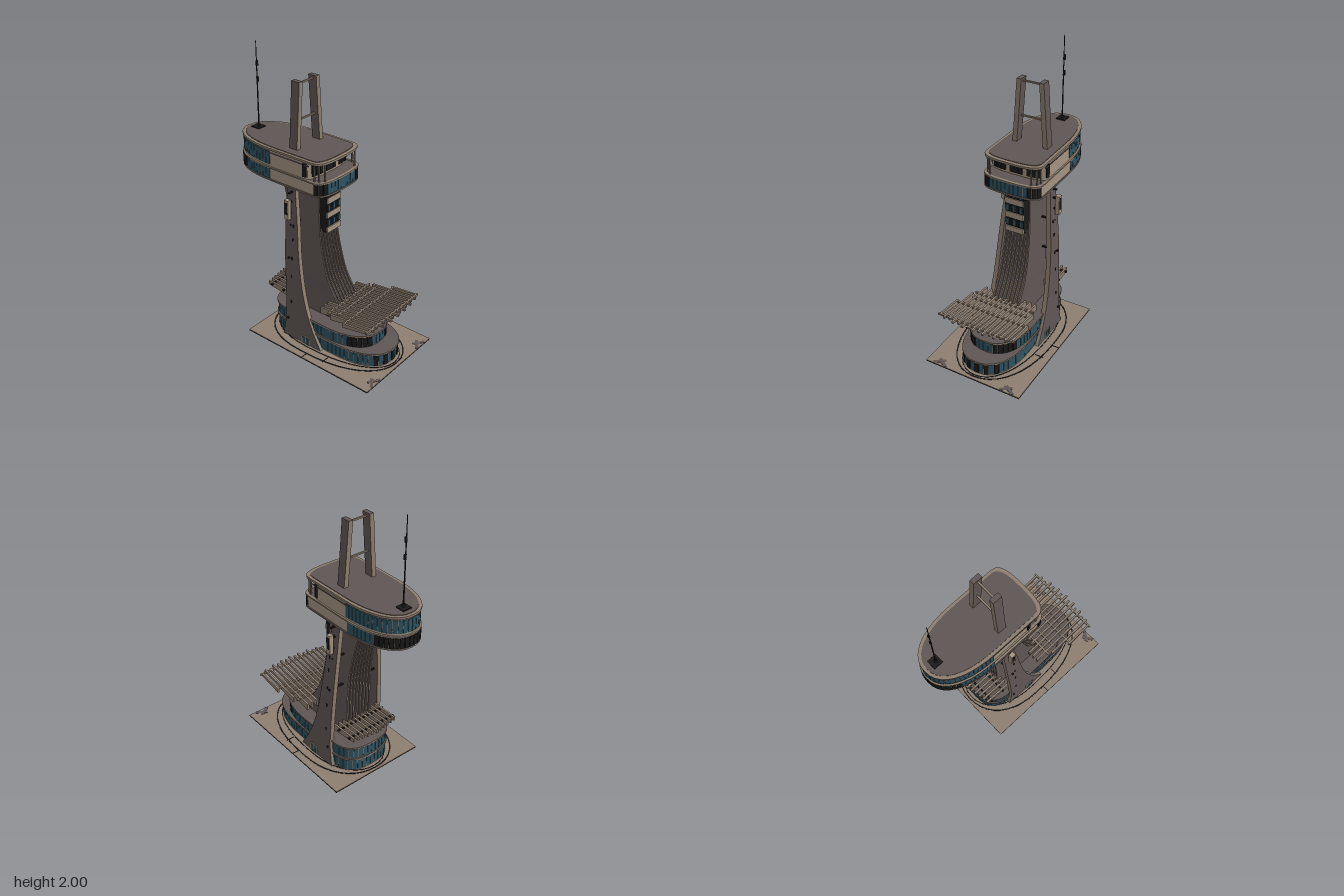
import * as THREE from 'three';

const mat = (name, color) => {
  const m = new THREE.MeshStandardMaterial({ color });
  m.name = name;
  return m;
};
const TAN = mat('tan cladding', 0x8d7e6f);
const PALE = mat('pale panel', 0xa39381);
const BROWN = mat('grey brown concrete', 0x5f5654);
const BLACK = mat('black metal', 0x1b1a1a);
const TEAL = mat('teal glass', 0x2f5362);

export function createModel() {
  const root = new THREE.Group();
  root.name = 'tower';
  const add = (name, geo, material, parent = root) => {
    const m = new THREE.Mesh(geo, material);
    m.name = name;
    parent.add(m);
    return m;
  };
  const group = (name) => {
    const g = new THREE.Group();
    g.name = name;
    root.add(g);
    return g;
  };
  const box = (name, x, y, z, w, h, d, material, parent) => {
    const m = add(name, new THREE.BoxGeometry(w, h, d), material, parent);
    m.position.set(x, y, z);
    return m;
  };

  // Rounded plan outline: straight sides with a superellipse at each end
  const outline = (w, zf, zb, rf, rb, nf = 2.5, nb = 2.5, steps = 20) => {
    const pts = [];
    for (const [s, z, r, n] of [[1, zf, rf, nf], [-1, zb, rb, nb]]) {
      for (let i = 0; i <= steps; i++) {
        const a = (Math.PI * i) / steps;
        const c = Math.cos(a), q = Math.sin(a);
        pts.push(new THREE.Vector2(
          s * w * Math.sign(c) * Math.abs(c) ** (2 / n),
          z - s * r + s * r * Math.max(q, 0) ** (2 / n)));
      }
    }
    return pts;
  };
  const slab = (pts, y0, y1, hole) => {
    const shape = new THREE.Shape(pts);
    if (hole) shape.holes.push(new THREE.Path(hole));
    return new THREE.ExtrudeGeometry(shape, { depth: y1 - y0, bevelEnabled: false })
      .rotateX(Math.PI / 2).translate(0, y1, 0);
  };

  // Thin facade panels along an outline; pick() chooses a material or none
  const facade = (name, pts, y0, y1, step, pick) => {
    const g = group(name);
    const shape = new THREE.Shape(pts);
    shape.closePath();
    const n = Math.round(shape.getLength() / step);
    const p = shape.getSpacedPoints(n);
    for (let i = 0; i < n; i++) {
      const a = p[i], b = p[i + 1];
      const x = (a.x + b.x) / 2, z = (a.y + b.y) / 2;
      const m = pick(x, z, i);
      if (!m) continue;
      const panel = box('panel', x, (y0 + y1) / 2, z, a.distanceTo(b) * 0.9, y1 - y0, m === BLACK ? 0.018 : 0.009, m, g);
      panel.rotation.y = -Math.atan2(b.y - a.y, b.x - a.x);
    }
  };
  const cycle = [TEAL, PALE, TEAL, BLACK, TEAL, TEAL, PALE, BLACK];
  const mixed = (i) => cycle[(i * 5 + Math.floor(i / 3)) % 8];

  // Upright loft from rows of [y, x0, x1, zBack, zFront]
  const loft = (rows, segs = 24) => {
    const curves = [1, 2, 3, 4].map((k) => new THREE.SplineCurve(rows.map((r) => new THREE.Vector2(r[0], r[k]))));
    const geo = new THREE.BoxGeometry(1, 1, 1, 1, segs, 1);
    const p = geo.attributes.position;
    for (let i = 0; i < p.count; i++) {
      const t = p.getY(i) + 0.5;
      const [x0, x1, zb, zf] = curves.map((c) => c.getPoint(t).y);
      p.setXYZ(i, p.getX(i) < 0 ? x0 : x1, curves[0].getPoint(t).x, p.getZ(i) < 0 ? zb : zf);
    }
    geo.computeVertexNormals();
    return geo;
  };

  // Ground plate with paving lines
  box('baseUnderside', 0, 0.003, 0.14, 0.73, 0.006, 1.05, BLACK);
  box('paving', 0, 0.008, 0.14, 0.73, 0.004, 1.05, TAN);
  const ring = (w, zf, zb, t) => slab(outline(w, zf, zb, 0.55, 0.4, 2.2, 2.2), 0.009, 0.0125,
    outline(w - t, zf - t, zb + t, 0.55, 0.4, 2.2, 2.2));
  add('outerPavingLine', ring(0.317, 0.645, -0.37, 0.008), BLACK);
  add('innerPavingLine', ring(0.258, 0.63, -0.35, 0.006), BLACK);
  for (const s of [-1, 1]) {
    box('pavingJoint', s * 0.34, 0.0105, 0.11, 0.05, 0.004, 0.005, BLACK);
    box('pavingJoint', s * 0.285, 0.0105, 0.25, 0.06, 0.004, 0.005, BLACK);
    for (const k of [0, 1]) {
      const mark = box('groundMark', s * (0.25 + k * 0.025), 0.0105, 0.635, 0.09, 0.004, 0.022, BROWN);
      mark.rotation.y = s * (k ? -0.6 : 0.6);
    }
  }

  // Two-storey podium
  const low = outline(0.205, 0.6, -0.32, 0.36, 0.2, 2.4, 2.8);
  const high = outline(0.205, 0.495, -0.32, 0.33, 0.2, 2.4, 2.8);
  add('podiumLower', slab(low, 0.01, 0.105), [BROWN, TAN]);
  add('podiumLowerRoof', slab(outline(0.215, 0.612, -0.33, 0.36, 0.2, 2.4, 2.8), 0.105, 0.117), [BROWN, TAN]);
  add('podiumUpper', slab(high, 0.117, 0.207), [BROWN, TAN]);
  add('podiumUpperRoof', slab(outline(0.215, 0.507, -0.33, 0.33, 0.2, 2.4, 2.8), 0.205, 0.217), [BROWN, TAN]);
  facade('podiumLowerWindows', low, 0.02, 0.1, 0.034, (x, z, i) => (z > 0.54 && i % 2 ? BLACK : mixed(i)));
  facade('podiumUpperWindows', high, 0.125, 0.2, 0.034, (x, z, i) => (z > 0.36 && Math.abs(x) > 0.07 ? BLACK : mixed(i)));

  // Curved core with continuous ribs front and back
  const coreRows = [[0.2, 0.105, -0.15, 0.275], [0.35, 0.1, -0.16, 0.195], [0.5, 0.098, -0.162, 0.11],
    [0.67, 0.094, -0.168, 0.062], [0.82, 0.089, -0.19, 0.035], [1.0, 0.082, -0.232, 0.018], [1.175, 0.076, -0.285, 0.01]];
  add('core', loft(coreRows.map(([y, w, b, f]) => [y, -w, w, b, f])), BROWN);
  const ribs = group('coreRibs');
  for (let i = 0; i < 8; i++) {
    const u = -1 + (i * 2) / 7;
    add('rib', loft(coreRows.map(([y, w, b, f]) => [y, u * w - 0.005, u * w + 0.005, b - 0.012, f + 0.014])),
      [BROWN, BROWN, TAN, TAN, TAN, TAN], ribs);
  }
  add('coreCollar', loft([[1.11, -0.09, 0.09, -0.272, 0.085], [1.17, -0.088, 0.088, -0.293, 0.088]], 1), BLACK);

  // Observation bay on the front of the core
  const bay = group('frontBay');
  add('bayBody', loft([[0.84, -0.066, 0.066, 0, 0.06], [0.88, -0.068, 0.068, 0, 0.085], [1.17, -0.07, 0.07, 0, 0.09]], 8), BLACK, bay);
  for (const y of [0.865, 0.975, 1.08]) {
    box('bayBand', 0, y, 0.088, 0.138, 0.04, 0.012, PALE, bay);
    for (let i = -2; i <= 2; i++)
      box('bayWindow', i * 0.026, y + 0.052, 0.091, 0.021, 0.042, 0.008, i % 2 ? BLACK : TEAL, bay);
  }

  // Tapering side legs that rise through the roof
  const legRows = [[0.005, 0.235, -0.17, 0.17], [0.17, 0.229, -0.147, 0.078], [0.385, 0.221, -0.15, 0.006],
    [0.65, 0.208, -0.163, -0.04], [0.9, 0.186, -0.17, -0.068], [1.17, 0.158, -0.172, -0.104],
    [1.4, 0.13, -0.174, -0.11], [1.845, 0.097, -0.177, -0.111]];
  for (const s of [-1, 1]) {
    const rows = legRows.map(([y, x, b, f]) => {
      const inner = x - 0.033;
      return s > 0 ? [y, inner, x, b, f] : [y, -x, -inner, b, f];
    });
    add(s > 0 ? 'leftLeg' : 'rightLeg', loft(rows, 32), [BROWN, BROWN, BROWN, BROWN, TAN, TAN]);
    // Service door, slit windows and side pod
    box('doorFrame', s * 0.234, 0.04, 0.035, 0.008, 0.065, 0.07, PALE);
    for (const z of [0.02, 0.05]) box('doorLeaf', s * 0.236, 0.04, z, 0.009, 0.056, 0.024, TEAL);
    for (const [y, x] of [[0.3, 0.224], [0.5, 0.216], [0.64, 0.209], [0.78, 0.198], [0.88, 0.188]])
      box('legSlit', s * x, y, -0.1, 0.008, 0.022, 0.008, BLACK);
    box('sidePod', s * 0.209, 1.005, -0.13, 0.03, 0.14, 0.034, PALE);
    box('sidePodGlass', s * 0.225, 1.015, -0.13, 0.004, 0.085, 0.02, BLACK);
    for (const y of [0.97, 1.05]) box('podBracket', s * 0.185, y, -0.13, 0.04, 0.01, 0.016, BLACK);
  }
  for (const [y, w] of [[0.16, 0.48], [0.64, 0.44], [0.88, 0.38], [1.12, 0.4]])
    box('tieBar', 0, y, -0.125, w, 0.01, 0.012, BLACK);
  for (const [y, w] of [[1.585, 0.22], [1.825, 0.18]])
    box('mastTie', 0, y, -0.145, w, 0.01, 0.012, TAN);

  // Slatted canopies: tapered fins from root z0 to tip z1
  const slat = (x, z0, z1, heights, parent) => {
    const geo = new THREE.BoxGeometry(0.014, 1, 1);
    const p = geo.attributes.position;
    for (let i = 0; i < p.count; i++) {
      const z = p.getZ(i) > 0 ? Math.max(z0, z1) : Math.min(z0, z1);
      const [bottom, top] = heights(z);
      p.setXYZ(i, p.getX(i) + x, p.getY(i) > 0 ? top : bottom, z);
    }
    geo.computeVertexNormals();
    add('slat', geo, TAN, parent);
  };
  const frontY = (z) => [0.3 + 0.184 * (z - 0.15), 0.35 + 0.112 * (z - 0.15)];
  const backY = (z) => [0.3 + 0.11 * (-z - 0.17), 0.345 + 0.03 * (-z - 0.17)];
  const front = group('frontCanopy'), back = group('backCanopy');
  for (let i = -7; i <= 7; i++) {
    const x = i * 0.039, a = Math.abs(x);
    slat(x, 0.14 + Math.max(0, a - 0.2) * 3.4, 0.64 - a * a * 0.5 - (i % 2 ? 0.015 : 0), frontY, front);
  }
  for (const [z, w] of [[0.23, 0.46], [0.3, 0.42], [0.4, 0.56], [0.59, 0.58]])
    box('crossBeam', 0, frontY(z)[1] - 0.008, z, w, 0.014, 0.012, TAN, front);
  for (let i = -5; i <= 5; i++) slat(i * 0.036, -0.14, -0.375 + Math.abs(i) * 0.006, backY, back);
  for (const z of [-0.2, -0.31]) box('crossBeam', 0, 0.335, z, 0.4, 0.012, 0.012, BLACK, back);

  // Head: lower deck, set-back upper room, overhanging roof
  const plan = (inset, zf, rf) => outline(0.21 - inset, zf, -0.655 + inset, rf, 0.4, 3, 2.3);
  const deck = plan(0.004, 0.163, 0.09), room = plan(0.008, 0.06, 0.06);
  add('lowerDeck', slab(deck, 1.17, 1.265), [BROWN, PALE]);
  add('deckSill', slab(plan(-0.003, 0.17, 0.09), 1.17, 1.18), [BROWN, TAN]);
  add('deckRail', slab(plan(-0.003, 0.17, 0.09), 1.258, 1.268, plan(0.012, 0.15, 0.08)), TAN);
  add('upperRoom', slab(room, 1.265, 1.388), [BROWN, PALE]);
  add('roofRim', slab(plan(0, 0.16, 0.09), 1.385, 1.4), TAN);
  add('roofTop', slab(plan(0.02, 0.135, 0.08), 1.4, 1.404), BROWN);
  facade('lowerDeckWindows', deck, 1.183, 1.257, 0.031, (x, z, i) => {
    if (z < -0.52) return BLACK;
    if (z > 0.1) return Math.abs(x) > 0.13 ? BLACK : mixed(i);
    return z < -0.29 ? mixed(i) : null;
  });
  facade('upperRoomWindows', room, 1.283, 1.375, 0.031, (x, z, i) => {
    if (z > 0) return i % 4 === 1 ? PALE : BLACK;
    return z < -0.28 ? mixed(i) : null;
  });
  for (const s of [-1, 1]) {
    box('sideGroove', s * 0.204, 1.365, -0.12, 0.006, 0.006, 0.34, BROWN);
    for (const [x, z] of [[0.19, 0.085], [0.18, 0.115], [0.15, 0.137]])
      box('terracePost', s * x, 1.327, z, 0.008, 0.12, 0.008, TAN);
  }

  // Antenna
  const antenna = group('antenna');
  box('antennaBase', 0, 1.407, -0.57, 0.066, 0.01, 0.066, BLACK, antenna);
  const rod = (r0, r1, y0, y1) => {
    add('antennaRod', new THREE.CylinderGeometry(r1, r0, y1 - y0, 8), BLACK, antenna)
      .position.set(0, (y0 + y1) / 2, -0.565);
  };
  rod(0.013, 0.008, 1.41, 1.425);
  rod(0.005, 0.004, 1.42, 1.72);
  rod(0.004, 0.0025, 1.72, 2);
  for (const y of [1.74, 1.85]) box('antennaDipole', 0.004, y, -0.565, 0.014, 0.035, 0.01, BLACK, antenna);
  return root;
}
